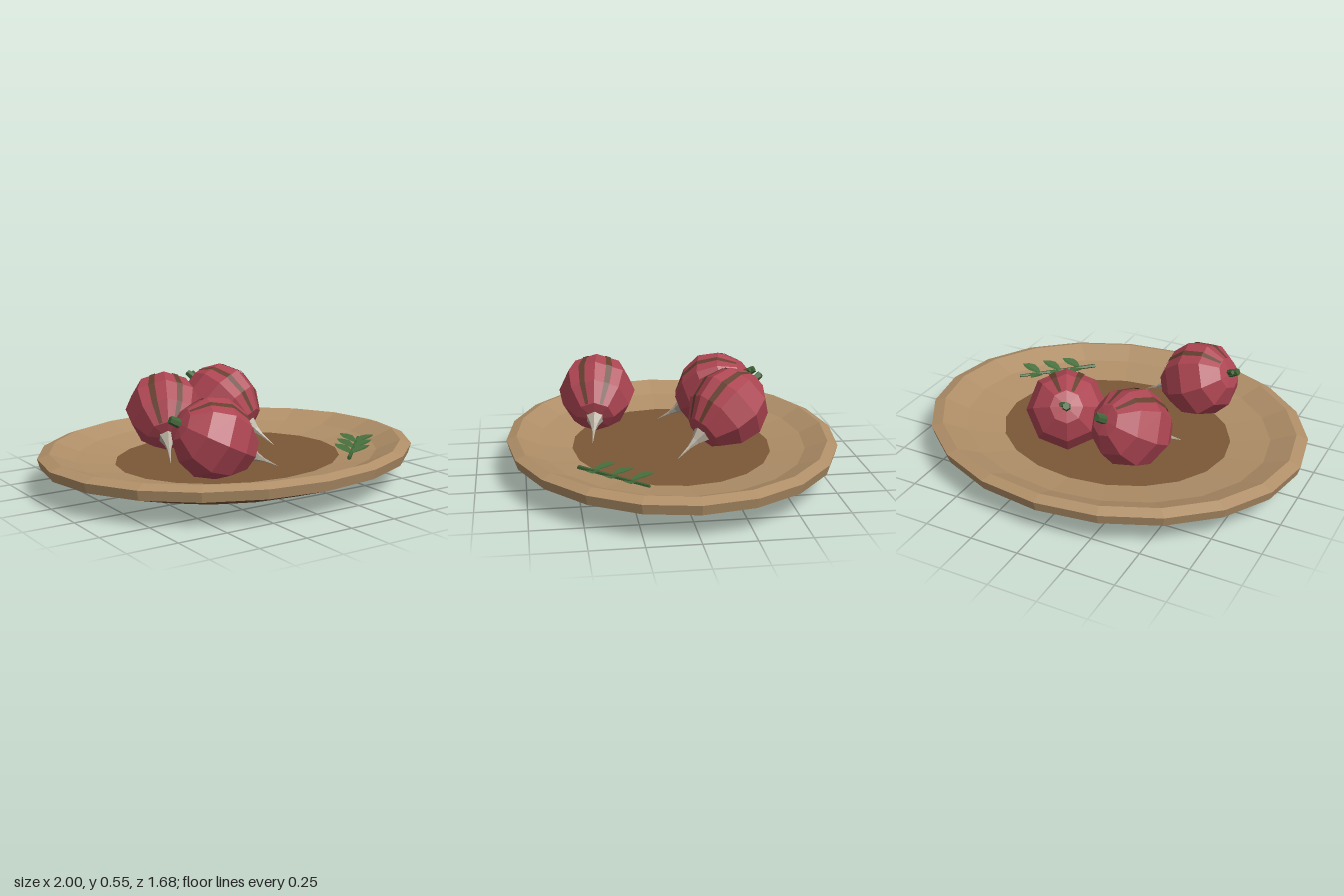
import * as THREE from 'three';

const mat = (color, side = THREE.FrontSide) =>
  new THREE.MeshStandardMaterial({ color, flatShading: true, side });

const wood = mat(0xb08f68);
const darkWood = mat(0x7c5838);
const red = mat(0xad4552);
const stripeBrown = mat(0x66402f, THREE.DoubleSide);
const rootPale = mat(0xb5ac9c);
const stemGreen = mat(0x3f6236);
const leafGreen = mat(0x466e3c, THREE.DoubleSide);

const points = (list) => list.map(([r, y]) => new THREE.Vector2(r, y));

function add(parent, name, geometry, material) {
  const mesh = new THREE.Mesh(geometry, material);
  mesh.name = name;
  parent.add(mesh);
  return mesh;
}

// Oval dish with a dark underside, pale rim and wall, and dark floor
function makeDish() {
  const dish = new THREE.Group();
  dish.name = 'dish';
  const ring = (name, profile, material) =>
    add(dish, name, new THREE.LatheGeometry(points(profile), 20), material);
  ring('dishUnderside', [[0, 0], [0.5, 0], [0.7, 0.045], [0.985, 0.13]], darkWood);
  ring('dishRimAndWall', [[0.985, 0.13], [1, 0.18], [0.94, 0.2], [0.81, 0.15], [0.605, 0.12]], wood);
  ring('dishFloor', [[0.605, 0.12], [0, 0.12]], darkWood);
  dish.scale.z = 0.84;
  return dish;
}

// Round root vegetable: local +y points to the stem, local +z is its upper side
const bodyProfile = [[0, -0.205], [0.1, -0.185], [0.175, -0.09], [0.202, 0.02], [0.165, 0.125], [0.08, 0.195], [0, 0.205]];

function makeRadish(center, rootDirection) {
  const radish = new THREE.Group();
  radish.name = 'radish';
  add(radish, 'radishBody', new THREE.LatheGeometry(points(bodyProfile), 8), red);

  // Two narrow stripes along the middle of the upper facets
  const stripeProfile = points(bodyProfile.slice(1, -1).map(([r, y]) => [r * 0.924 + 0.006, y]));
  for (const side of [-1, 1]) {
    const angle = side * Math.PI / 8;
    add(radish, 'stripe', new THREE.LatheGeometry(stripeProfile, 1, angle - 0.09, 0.18), stripeBrown);
  }

  // Tapering root
  const root = points([[0, -0.38], [0.009, -0.29], [0.022, -0.245], [0.05, -0.19]]);
  add(radish, 'root', new THREE.LatheGeometry(root, 6), rootPale);

  // Cut stem with a short side stub
  const stem = add(radish, 'stem', new THREE.CylinderGeometry(0.018, 0.023, 0.06, 6), stemGreen);
  stem.position.y = 0.225;
  const stub = add(radish, 'stemStub', new THREE.CylinderGeometry(0.011, 0.014, 0.045, 5), stemGreen);
  stub.position.set(0.018, 0.22, 0.01);
  stub.rotation.z = -0.4;

  const yAxis = new THREE.Vector3(...rootDirection).normalize().negate();
  const xAxis = yAxis.clone().cross(new THREE.Vector3(0, 1, 0)).normalize();
  const zAxis = xAxis.clone().cross(yAxis);
  radish.quaternion.setFromRotationMatrix(new THREE.Matrix4().makeBasis(xAxis, yAxis, zAxis));
  radish.position.set(...center);
  return radish;
}

// Pointed leaf along +x, folded at the midrib and rising to its tip
function leafGeometry() {
  const geometry = new THREE.PlaneGeometry(1, 2, 4, 2);
  const p = geometry.attributes.position;
  const halfWidths = [0.003, 0.026, 0.035, 0.024, 0];
  for (let i = 0; i < p.count; i++) {
    const t = p.getX(i) + 0.5;
    const across = p.getY(i);
    const half = halfWidths[Math.round(t * 4)];
    p.setXYZ(i, t * 0.118, 0.03 * t + 0.25 * half * Math.abs(across), -across * half);
  }
  geometry.computeVertexNormals();
  return geometry;
}

// Herb sprig with three pairs of leaves
function makeSprig() {
  const sprig = new THREE.Group();
  sprig.name = 'herbSprig';
  const twig = new THREE.LineCurve3(new THREE.Vector3(0.39, 0.16, 0.5), new THREE.Vector3(0.7, 0.165, 0.195));
  add(sprig, 'twig', new THREE.CylinderGeometry(0.008, 0.011, twig.getLength(), 5), stemGreen);
  const rod = sprig.children[0];
  rod.position.copy(twig.getPoint(0.5));
  rod.quaternion.setFromUnitVectors(new THREE.Vector3(0, 1, 0), twig.getTangent(0));

  const leaf = leafGeometry();
  for (const t of [0.2, 0.46, 0.73]) {
    for (const turn of [Math.PI / 2 + 0.1, -0.05]) {
      const blade = add(sprig, 'leaf', leaf, leafGreen);
      blade.position.copy(twig.getPoint(t));
      blade.rotation.y = turn;
    }
  }
  return sprig;
}

export function createModel() {
  const model = new THREE.Group();
  model.name = 'dishOfRadishes';
  model.add(
    makeDish(),
    makeRadish([-0.31, 0.32, 0.355], [0.87, -0.44, 0.13]),
    makeRadish([-0.225, 0.335, -0.265], [-0.36, -0.52, 0.77]),
    makeRadish([0.135, 0.345, -0.27], [0.4, -0.55, 0.73]),
    makeSprig()
  );
  return model;
}
